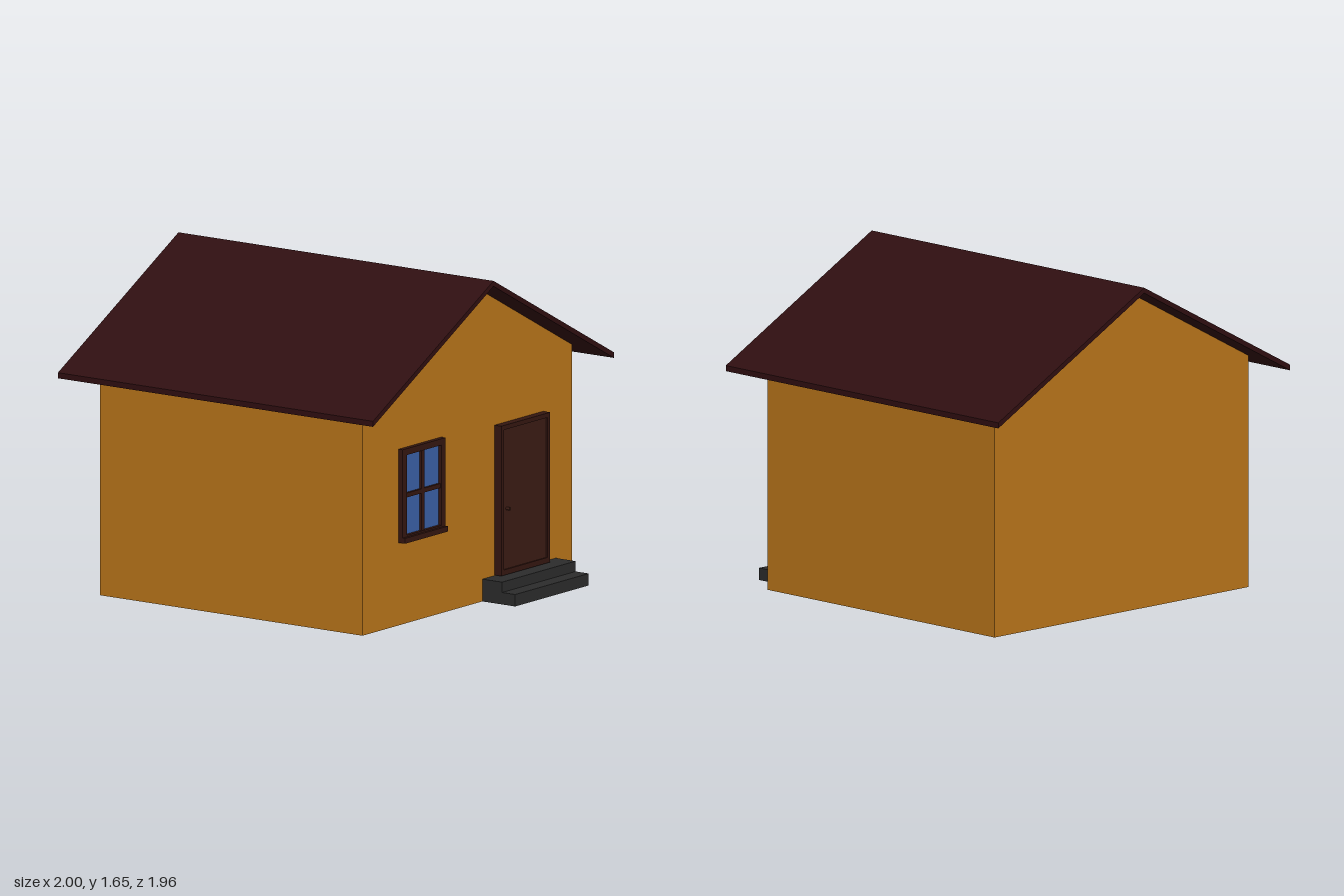
import * as THREE from 'three';

const paint = (color) => new THREE.MeshStandardMaterial({ color });
const wallPaint = paint(0xb8741a);
const roofPaint = paint(0x2f0e10);
const woodPaint = paint(0x3a1b13);
const framePaint = paint(0x341610);
const glassPaint = paint(0x3a5fa5);
const stonePaint = paint(0x2b2b2b);

// Box given by its limits on each axis
function box(name, material, [x0, x1], [y0, y1], [z0, z1]) {
  const mesh = new THREE.Mesh(new THREE.BoxGeometry(x1 - x0, y1 - y0, z1 - z0), material);
  mesh.position.set((x0 + x1) / 2, (y0 + y1) / 2, (z0 + z1) / 2);
  mesh.name = name;
  return mesh;
}

// Outline in x, y extruded from z0 to z1
function prism(name, material, points, z0, z1, hole) {
  const toVectors = (list) => list.map(([x, y]) => new THREE.Vector2(x, y));
  const shape = new THREE.Shape(toVectors(points));
  if (hole) shape.holes.push(new THREE.Path(toVectors(hole)));
  const geometry = new THREE.ExtrudeGeometry(shape, { depth: z1 - z0, bevelEnabled: false });
  const mesh = new THREE.Mesh(geometry, material);
  mesh.position.z = z0;
  mesh.name = name;
  return mesh;
}

const rect = (x0, x1, y0, y1) => [[x0, y0], [x1, y0], [x1, y1], [x0, y1]];

function createWindow() {
  const group = new THREE.Group();
  group.name = 'window';
  group.add(
    prism('windowFrame', framePaint, rect(-0.57, -0.215, 0.43, 0.885), 0.77, 0.805,
      rect(-0.535, -0.25, 0.45, 0.853)),
    box('windowGlass', glassPaint, [-0.54, -0.245], [0.445, 0.86], [0.77, 0.787]),
    box('verticalBar', framePaint, [-0.405, -0.382], [0.445, 0.86], [0.775, 0.8]),
    box('horizontalBar', framePaint, [-0.54, -0.245], [0.638, 0.66], [0.775, 0.8]),
    box('windowSill', framePaint, [-0.57, -0.215], [0.415, 0.442], [0.77, 0.82]),
  );
  return group;
}

function createDoor() {
  const group = new THREE.Group();
  group.name = 'door';
  group.add(
    prism('doorFrame', framePaint, rect(0.225, 0.63, 0.115, 0.868), 0.77, 0.822,
      rect(0.247, 0.608, 0.142, 0.845)),
    box('doorPanel', woodPaint, [0.24, 0.615], [0.135, 0.85], [0.77, 0.814]),
  );
  // Small knob near the door edge
  const knob = new THREE.Mesh(new THREE.CylinderGeometry(0.008, 0.008, 0.024, 12), woodPaint);
  knob.rotation.x = Math.PI / 2;
  knob.position.set(0.28, 0.445, 0.824);
  knob.name = 'doorKnob';
  group.add(knob);
  return group;
}

export function createModel() {
  const house = new THREE.Group();
  house.name = 'house';

  // Walls with both gables, closed underneath
  house.add(prism('walls', wallPaint,
    [[-0.87, 0], [0.87, 0], [0.87, 1.162], [0, 1.625], [-0.87, 1.162]], -0.82, 0.78));

  // Thin pitched roof with overhanging eaves
  house.add(prism('roof', roofPaint,
    [[-1, 1.092], [0, 1.625], [1, 1.092], [1, 1.12], [0, 1.652], [-1, 1.12]], -0.98, 0.94));

  house.add(createWindow(), createDoor());

  // Two entrance steps, as one stepped block
  const steps = new THREE.Group();
  steps.name = 'steps';
  steps.add(
    box('lowerStep', stonePaint, [0.125, 0.735], [0, 0.06], [0.78, 0.98]),
    box('upperStep', stonePaint, [0.125, 0.735], [0.06, 0.112], [0.78, 0.9]),
  );
  house.add(steps);
  return house;
}
